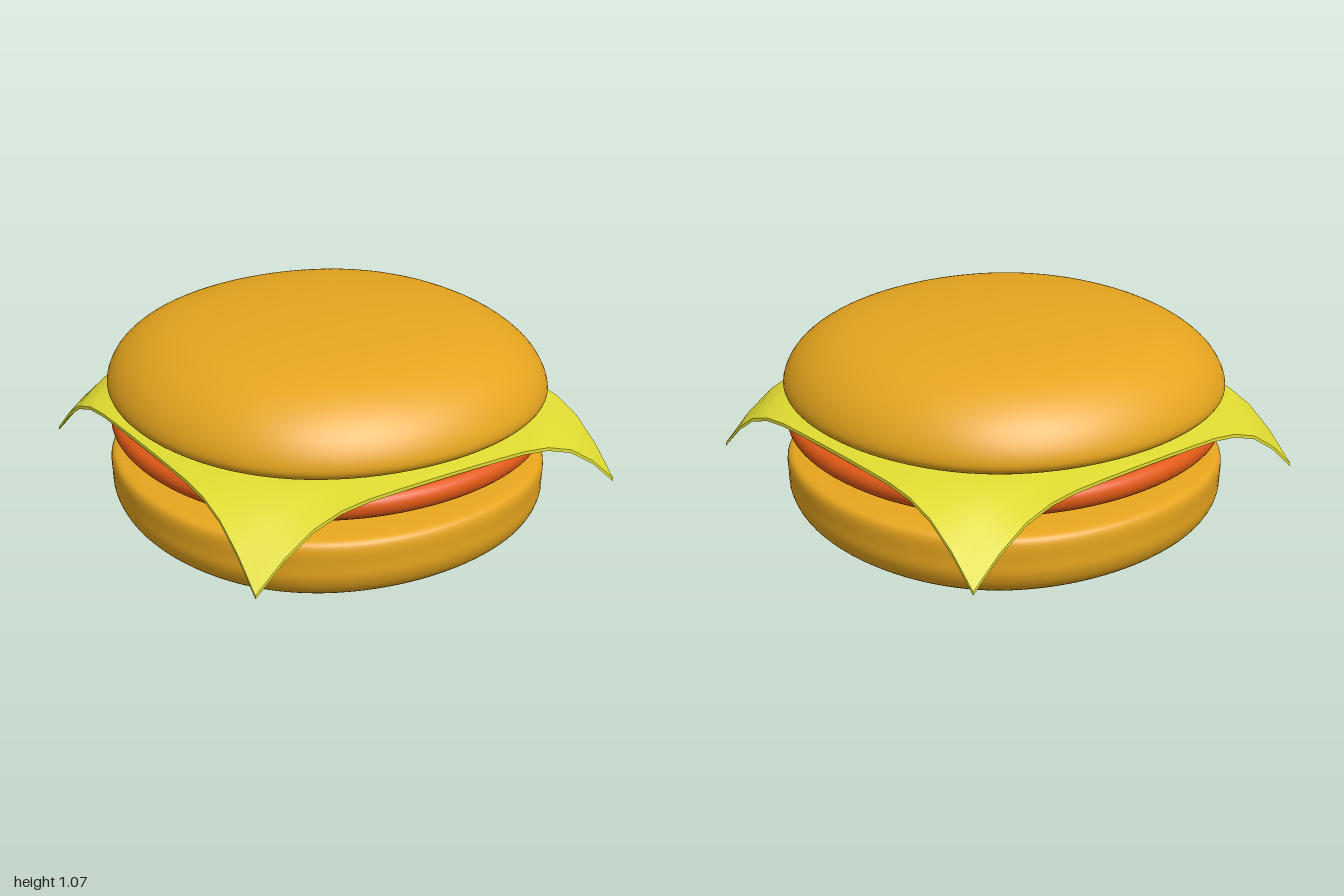
import * as THREE from 'three';
import { mergeVertices } from 'three/addons/utils/BufferGeometryUtils.js';

const BUN = 0xe6a51e, PATTY = 0xe25a16, CHEESE = 0xe0dc32;

// Rounded-square outline (cubic B-spline of a square), half width 1
function outline(angle) {
  const t = angle / (Math.PI / 2) + 0.5;
  const side = Math.floor(t), u = t - side, c = 12 / 11;
  const out = c * (1 - ((1 - u) ** 3 + u ** 3) / 3);
  const along = c * (-1 + (-3 * u ** 3 + 3 * u * u + 3 * u + 1) / 3 + u ** 3 / 3);
  const a = side * Math.PI / 2;
  return [out * Math.sin(a) + along * Math.cos(a), out * Math.cos(a) - along * Math.sin(a)];
}

// Smooth disc: a profile of [radius, height] from bottom to top, swept round the outline
function disc(name, color, profile) {
  const curve = new THREE.CatmullRomCurve3(profile.map(([r, y]) => new THREE.Vector3(r, y, 0)));
  const points = curve.getPoints(64).map(p => new THREE.Vector2(Math.max(0, p.x), p.y));
  let geo = new THREE.LatheGeometry(points, 96);
  const pos = geo.attributes.position;
  for (let i = 0; i < pos.count; i++) {
    const r = points[i % points.length].x;
    const ring = Math.floor(i / points.length) % 96;
    const [x, z] = outline(ring / 96 * Math.PI * 2);
    pos.setX(i, x * r);
    pos.setZ(i, z * r);
  }
  geo.deleteAttribute('uv');
  geo.deleteAttribute('normal');
  geo = mergeVertices(geo);
  geo.computeVertexNormals();
  const mesh = new THREE.Mesh(geo, new THREE.MeshStandardMaterial({ color }));
  mesh.name = name;
  return mesh;
}

// How far the cheese hangs at a distance from the centre
const HANG = [[0, 0], [0.8, 0], [0.96, 0.027], [1.04, 0.031], [1.1, 0.045], [1.18, 0.095], [1.26, 0.18], [1.36, 0.315]];
function hang(r) {
  const i = Math.max(1, HANG.findIndex(p => p[0] >= r));
  const [r0, d0] = HANG[i - 1], [r1, d1] = HANG[i];
  return THREE.MathUtils.mapLinear(r, r0, r1, d0, d1);
}

// Thin square slice whose corners droop
function cheeseSlice() {
  const geo = new THREE.BoxGeometry(1.92, 0.016, 1.92, 14, 1, 14);
  const pos = geo.attributes.position;
  for (let i = 0; i < pos.count; i++) {
    const drop = hang(Math.hypot(pos.getX(i), pos.getZ(i)));
    pos.setY(i, pos.getY(i) + 0.63 - drop);
  }
  geo.computeVertexNormals();
  const mesh = new THREE.Mesh(geo, new THREE.MeshStandardMaterial({ color: CHEESE }));
  mesh.name = 'cheeseSlice';
  return mesh;
}

export function createModel() {
  const group = new THREE.Group();
  group.name = 'cheeseburger';
  group.add(
    disc('bottomBun', BUN, [
      [0, 0], [0.3, 0.005], [0.55, 0.018], [0.75, 0.042], [0.88, 0.083], [0.96, 0.14], [0.995, 0.21],
      [1, 0.28], [1, 0.36], [0.985, 0.385], [0.93, 0.398], [0.75, 0.409], [0.4, 0.415], [0, 0.417],
    ]),
    disc('patty', PATTY, [
      [0, 0.423], [0.4, 0.425], [0.7, 0.432], [0.85, 0.443], [0.93, 0.463], [0.98, 0.5], [0.993, 0.538],
      [0.98, 0.572], [0.93, 0.595], [0.8, 0.607], [0.4, 0.612], [0, 0.613],
    ]),
    cheeseSlice(),
    disc('topBun', BUN, [
      [0, 0.63], [0.4, 0.632], [0.7, 0.64], [0.88, 0.653], [0.97, 0.675], [1, 0.71], [0.995, 0.765],
      [0.95, 0.85], [0.87, 0.925], [0.76, 0.985], [0.6, 1.028], [0.4, 1.055], [0.2, 1.068], [0, 1.072],
    ]),
  );
  return group;
}
